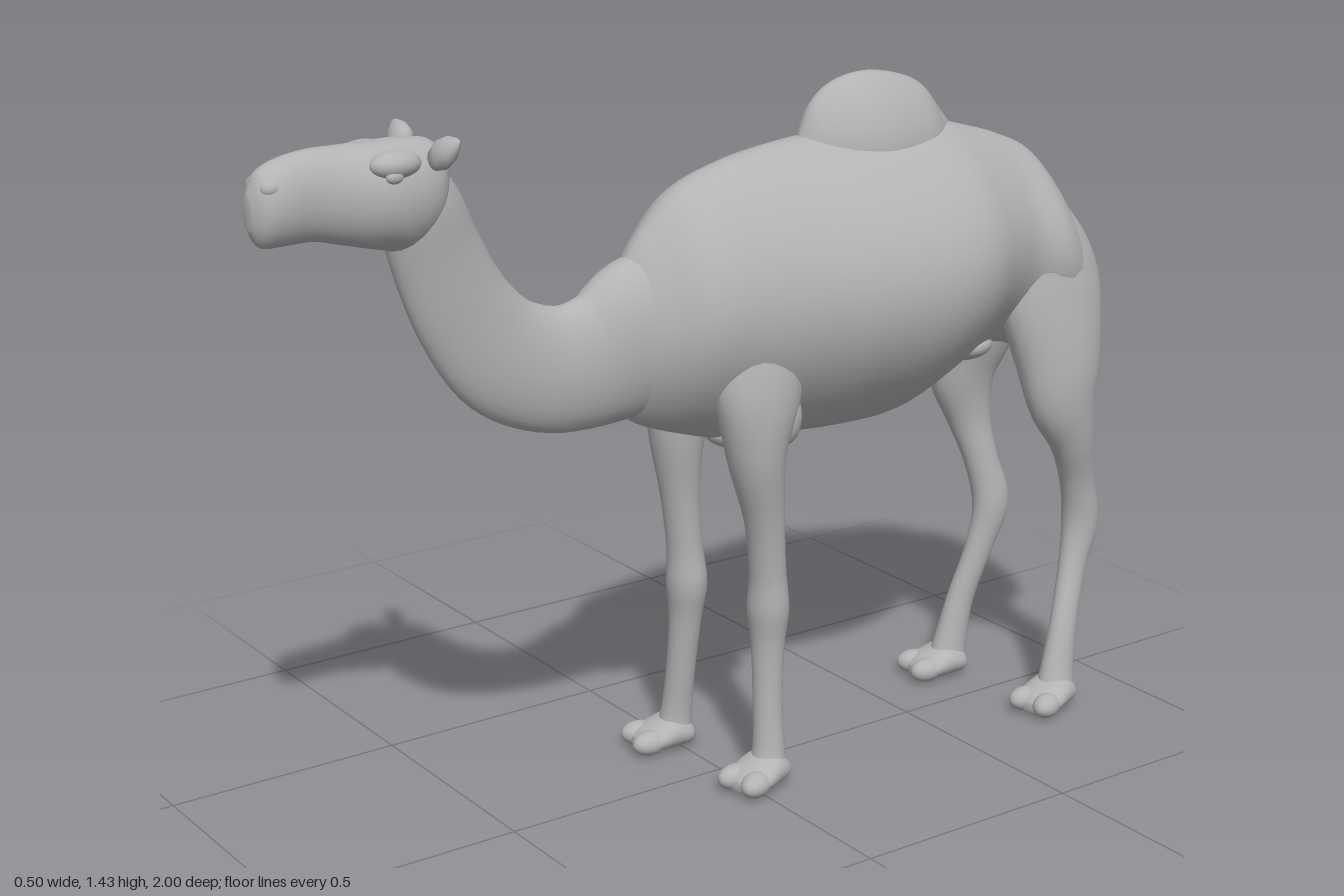
import * as THREE from 'three';

const coat = new THREE.MeshStandardMaterial({ color: 0xb3b3b3 });
coat.name = 'grey coat';

// Smooth skin through sections [x, y, z, halfWidth, halfDepth].
// straight: sections stay upright; pinch: narrows top and bottom; bump: shaggy relief.
function loft(name, sections, { straight = false, pinch = 0, bump = 0, sides = 32, steps = 6 } = {}) {
  const path = new THREE.CatmullRomCurve3(sections.map(s => new THREE.Vector3(s[0], s[1], s[2])), false, 'catmullrom');
  const size = new THREE.CatmullRomCurve3(sections.map(s => new THREE.Vector3(s[3], s[4], 0)), false, 'catmullrom');
  const rings = (sections.length - 1) * steps;
  const pos = [], index = [];
  for (let i = 0; i <= rings; i++) {
    const t = i / rings, c = path.getPoint(t), r = size.getPoint(t);
    const a = path.getPoint(Math.max(0, t - 0.01)), b = path.getPoint(Math.min(1, t + 0.01));
    const tan = straight ? new THREE.Vector3(0, 0, 1) : b.sub(a).setX(0).normalize();
    for (let j = 0; j < sides; j++) {
      const th = j / sides * Math.PI * 2, s = Math.sin(th);
      const k = 1 + bump * Math.sin(5 * th + 2 * Math.sin(i * 0.9)) * Math.sin(i * 1.3 + 2 * s);
      const u = Math.cos(th) * r.x * (1 - pinch * s * s) * k, v = s * r.y * k;
      pos.push(c.x + u, c.y + tan.z * v, c.z - tan.y * v);
    }
  }
  for (let i = 0; i < rings; i++) for (let j = 0; j < sides; j++) {
    const p = i * sides + j, q = i * sides + (j + 1) % sides;
    index.push(p, q, q + sides, p, q + sides, p + sides);
  }
  // end caps
  for (const [ring, flip] of [[0, true], [rings, false]]) {
    const c = path.getPoint(ring / rings), mid = pos.length / 3;
    pos.push(c.x, c.y, c.z);
    for (let j = 0; j < sides; j++) {
      const p = ring * sides + j, q = ring * sides + (j + 1) % sides;
      index.push(mid, flip ? q : p, flip ? p : q);
    }
  }
  const g = new THREE.BufferGeometry();
  g.setAttribute('position', new THREE.Float32BufferAttribute(pos, 3));
  g.setIndex(index);
  g.computeVertexNormals();
  const mesh = new THREE.Mesh(g, coat);
  mesh.name = name;
  return mesh;
}

// Upright sections given as [z, top, bottom, halfWidth]
const upright = rows => rows.map(([z, top, bot, a]) => [0, (top + bot) / 2, z, a, (top - bot) / 2]);

function blob(name, x, y, z, rx, ry, rz) {
  const mesh = new THREE.Mesh(new THREE.SphereGeometry(1, 24, 16), coat);
  mesh.name = name;
  mesh.position.set(x, y, z);
  mesh.scale.set(rx, ry, rz);
  return mesh;
}

// Two-toed padded foot, centred under the ankle
function foot(name, x, z, side) {
  const g = new THREE.Group();
  g.name = name;
  g.add(loft('footPad', upright([
    [-0.052, 0.035, 0.012, 0.015], [-0.035, 0.06, 0.004, 0.04], [0, 0.075, 0, 0.05],
    [0.04, 0.06, 0, 0.055], [0.07, 0.045, 0.002, 0.048], [0.085, 0.03, 0.01, 0.025],
  ]), { straight: true, sides: 24 }));
  for (const s of [-1, 1]) {
    const toe = blob('toe', s * 0.029, 0.027, 0.06, 0.028, 0.026, 0.04);
    toe.rotation.y = s * 0.2;
    g.add(toe);
  }
  g.position.set(x, 0, z);
  g.rotation.y = side * 0.2;
  return g;
}

// Leg with its foot; the lower part is shifted by dx, dz to set the stance
function leg(name, rows, side, dx, dz) {
  const g = new THREE.Group();
  g.name = name;
  const placed = rows.map(([x, y, z, a, b]) => {
    const kx = THREE.MathUtils.clamp((0.75 - y) / 0.72, 0, 1);
    const kz = THREE.MathUtils.clamp((0.95 - y) / 0.4, 0, 1);
    return [side * (x + dx * kx), y, z + dz * kz, a, b];
  });
  const end = placed[placed.length - 1];
  g.add(loft('limb', placed, { sides: 24 }), foot('foot', end[0], end[2] + 0.005, side));
  return g;
}

export function createModel() {
  const model = new THREE.Group();
  model.name = 'camel';

  model.add(loft('body', upright([
    [-0.915, 0.98, 0.90, 0.03], [-0.895, 1.03, 0.84, 0.09], [-0.85, 1.13, 0.79, 0.14],
    [-0.78, 1.22, 0.79, 0.168], [-0.70, 1.26, 0.81, 0.158], [-0.62, 1.285, 0.80, 0.185],
    [-0.52, 1.31, 0.755, 0.232], [-0.40, 1.315, 0.71, 0.25], [-0.25, 1.315, 0.705, 0.237],
    [-0.12, 1.305, 0.715, 0.205], [0, 1.285, 0.725, 0.178], [0.11, 1.245, 0.755, 0.158],
    [0.19, 1.17, 0.785, 0.105], [0.24, 1.10, 0.815, 0.068], [0.3, 1.03, 0.85, 0.04],
  ]), { straight: true, pinch: 0.33, sides: 48 }));

  model.add(loft('hump', upright([
    [-0.58, 1.29, 1.2, 0.02], [-0.54, 1.335, 1.17, 0.045], [-0.48, 1.395, 1.13, 0.075],
    [-0.37, 1.425, 1.1, 0.092], [-0.28, 1.415, 1.12, 0.078], [-0.22, 1.375, 1.17, 0.05],
    [-0.185, 1.30, 1.22, 0.02],
  ]), { straight: true, pinch: 0.35 }));

  model.add(loft('neck', [
    [0, 0.985, 0.06, 0.08, 0.13], [0, 0.97, 0.18, 0.09, 0.162], [0, 0.935, 0.3, 0.065, 0.134],
    [0, 0.935, 0.4, 0.052, 0.123], [0, 0.98, 0.5, 0.047, 0.115], [0, 1.07, 0.575, 0.046, 0.102],
    [0, 1.18, 0.628, 0.05, 0.092], [0, 1.28, 0.662, 0.058, 0.082], [0, 1.35, 0.68, 0.05, 0.06],
  ]));

  model.add(loft('head', upright([
    [0.605, 1.36, 1.31, 0.015], [0.64, 1.405, 1.24, 0.058], [0.70, 1.415, 1.21, 0.078],
    [0.76, 1.415, 1.22, 0.082], [0.82, 1.415, 1.235, 0.062], [0.88, 1.415, 1.25, 0.049],
    [0.94, 1.405, 1.25, 0.049], [0.98, 1.385, 1.253, 0.041], [1.0, 1.345, 1.285, 0.015],
  ]), { straight: true }));

  // brows, eyes, nostrils and pointed ears
  const earProfile = [[0, 0], [0.022, 0.006], [0.03, 0.03], [0.025, 0.055], [0.01, 0.078], [0, 0.085]]
    .map(p => new THREE.Vector2(...p));
  for (const s of [-1, 1]) {
    model.add(blob('brow', s * 0.058, 1.38, 0.74, 0.031, 0.026, 0.05));
    model.add(blob('eye', s * 0.078, 1.362, 0.752, 0.01, 0.012, 0.017));
    model.add(blob('nostrilRim', s * 0.027, 1.36, 0.965, 0.015, 0.016, 0.02));
    const ear = new THREE.Mesh(new THREE.LatheGeometry(earProfile, 20), coat);
    ear.name = 'ear';
    ear.scale.z = 0.7;
    ear.position.set(s * 0.05, 1.375, 0.66);
    ear.rotation.set(-0.35, 0, -s * 0.98);
    model.add(ear);
  }

  const front = [
    [0.07, 1.08, -0.02, 0.02, 0.03], [0.09, 0.98, -0.015, 0.055, 0.09], [0.112, 0.85, -0.01, 0.064, 0.098],
    [0.115, 0.72, -0.005, 0.058, 0.062], [0.108, 0.58, -0.03, 0.043, 0.041], [0.1, 0.46, -0.045, 0.04, 0.037],
    [0.095, 0.38, -0.05, 0.046, 0.042], [0.095, 0.3, -0.05, 0.036, 0.034], [0.1, 0.18, -0.047, 0.031, 0.031],
    [0.107, 0.08, -0.045, 0.033, 0.034], [0.11, 0.03, -0.04, 0.042, 0.042],
  ];
  const rear = [
    [0.055, 1.17, -0.735, 0.02, 0.03], [0.078, 1.08, -0.75, 0.058, 0.09], [0.098, 0.95, -0.775, 0.07, 0.13],
    [0.12, 0.8, -0.79, 0.07, 0.108], [0.135, 0.7, -0.795, 0.056, 0.085], [0.135, 0.6, -0.83, 0.042, 0.053],
    [0.12, 0.5, -0.863, 0.034, 0.04], [0.112, 0.4, -0.885, 0.036, 0.044], [0.12, 0.3, -0.86, 0.028, 0.033],
    [0.14, 0.18, -0.822, 0.027, 0.032], [0.15, 0.08, -0.8, 0.032, 0.04], [0.155, 0.03, -0.79, 0.042, 0.045],
  ];
  model.add(leg('leftFrontLeg', front, 1, 0, 0), leg('rightFrontLeg', front, -1, 0.05, 0.05));
  model.add(leg('leftRearLeg', rear, 1, 0, 0), leg('rightRearLeg', rear, -1, -0.03, 0.075));

  // elbows, chest pad and flank fold
  for (const s of [-1, 1]) model.add(blob('elbow', s * 0.125, 0.79, -0.065, 0.035, 0.06, 0.035));
  model.add(blob('chestPad', 0, 0.735, -0.04, 0.06, 0.035, 0.07));
  model.add(blob('flankFold', 0, 0.82, -0.62, 0.07, 0.035, 0.07));

  model.add(loft('tail', [
    [0, 1.15, -0.81, 0.02, 0.015], [0, 1.08, -0.873, 0.032, 0.025], [0, 1.0, -0.908, 0.032, 0.027],
    [0, 0.9, -0.932, 0.027, 0.027], [0, 0.76, -0.945, 0.02, 0.025],
  ], { sides: 16 }));
  model.add(loft('tailTuft', [
    [0, 0.85, -0.938, 0.015, 0.018], [0, 0.78, -0.943, 0.034, 0.038], [0, 0.7, -0.943, 0.043, 0.048],
    [0, 0.62, -0.943, 0.048, 0.05], [0, 0.555, -0.943, 0.038, 0.038], [0, 0.52, -0.942, 0.012, 0.012],
  ], { bump: 0.16, steps: 8 }));

  return model;
}
